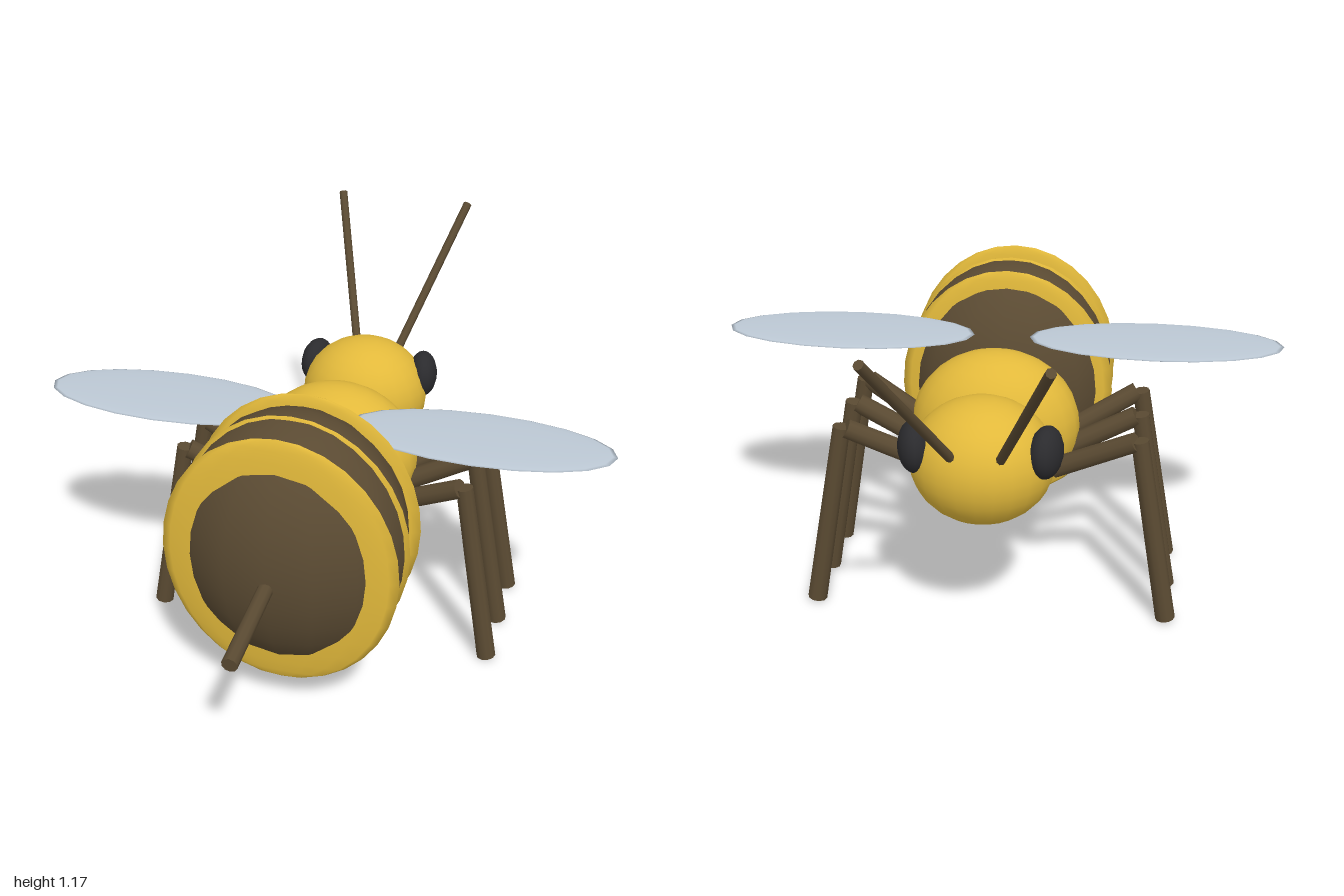
import * as THREE from 'three';

const mat = (name, color) => {
  const m = new THREE.MeshStandardMaterial({ color });
  m.name = name;
  return m;
};

export function createModel() {
  const bee = new THREE.Group();
  bee.name = 'bee';
  const yellow = mat('honey yellow', 0xe2b93b);
  const brown = mat('dark brown', 0x5a4a32);
  const black = mat('eye black', 0x2b2b2e);
  const wingGrey = mat('wing grey', 0xbcc8d4);

  // Sphere stretched to three radii
  const ellipsoid = (name, material, pos, radii, w = 24, h = 16) => {
    const g = new THREE.SphereGeometry(1, w, h).scale(...radii);
    const m = new THREE.Mesh(g, material);
    m.name = name;
    m.position.set(...pos);
    bee.add(m);
    return m;
  };

  // Straight rod from a to b
  const rod = (name, a, b, ra, rb, sides = 10) => {
    const p = new THREE.Vector3(...a), q = new THREE.Vector3(...b);
    const d = q.clone().sub(p);
    const m = new THREE.Mesh(new THREE.CylinderGeometry(rb, ra, d.length(), sides), brown);
    m.name = name;
    m.position.copy(p).add(q).multiplyScalar(0.5);
    m.quaternion.setFromUnitVectors(new THREE.Vector3(0, 1, 0), d.normalize());
    bee.add(m);
  };

  // Body, head towards -z
  ellipsoid('head', yellow, [0, 0.635, -0.435], [0.22, 0.195, 0.2]);
  ellipsoid('thorax', yellow, [0, 0.585, -0.07], [0.273, 0.247, 0.2]);
  ellipsoid('abdomen', brown, [0, 0.555, 0.405], [0.36, 0.42, 0.293], 16, 16);
  for (const z of [0.285, 0.428, 0.567]) {
    ellipsoid('stripe', yellow, [0, 0.555, z], [0.368, 0.426, 0.035], 16, 16);
  }
  rod('stinger', [0, 0.56, 0.6], [0, 0.515, 0.998], 0.024, 0.024);

  for (const s of [1, -1]) {
    const side = s > 0 ? 'left' : 'right';
    const eye = ellipsoid(side + 'Eye', black, [s * 0.195, 0.698, -0.495], [0.05, 0.08, 0.08], 16, 12);
    eye.rotation.y = s * 0.2;
    rod(side + 'Antenna', [s * 0.07, 0.71, -0.59], [s * 0.237, 1.162, -0.985], 0.015, 0.015, 8);
    ellipsoid(side + 'Wing', wingGrey, [s * 0.507, 0.813, 0.115], [0.415, 0.01, 0.166], 20, 12);

    // Three legs, fanned out from the thorax
    for (const [i, leg] of ['Front', 'Middle', 'Rear'].entries()) {
      const k = i - 1;
      const z = (spread) => -0.07 + k * spread;
      rod(side + leg + 'UpperLeg', [s * 0.2, 0.49, z(0.12)], [s * 0.455, 0.63, z(0.192)], 0.034, 0.032);
      rod(side + leg + 'LowerLeg', [s * 0.468, 0.635, z(0.19)], [s * 0.578, 0.006, z(0.208)], 0.028, 0.032);
    }
  }
  return bee;
}
